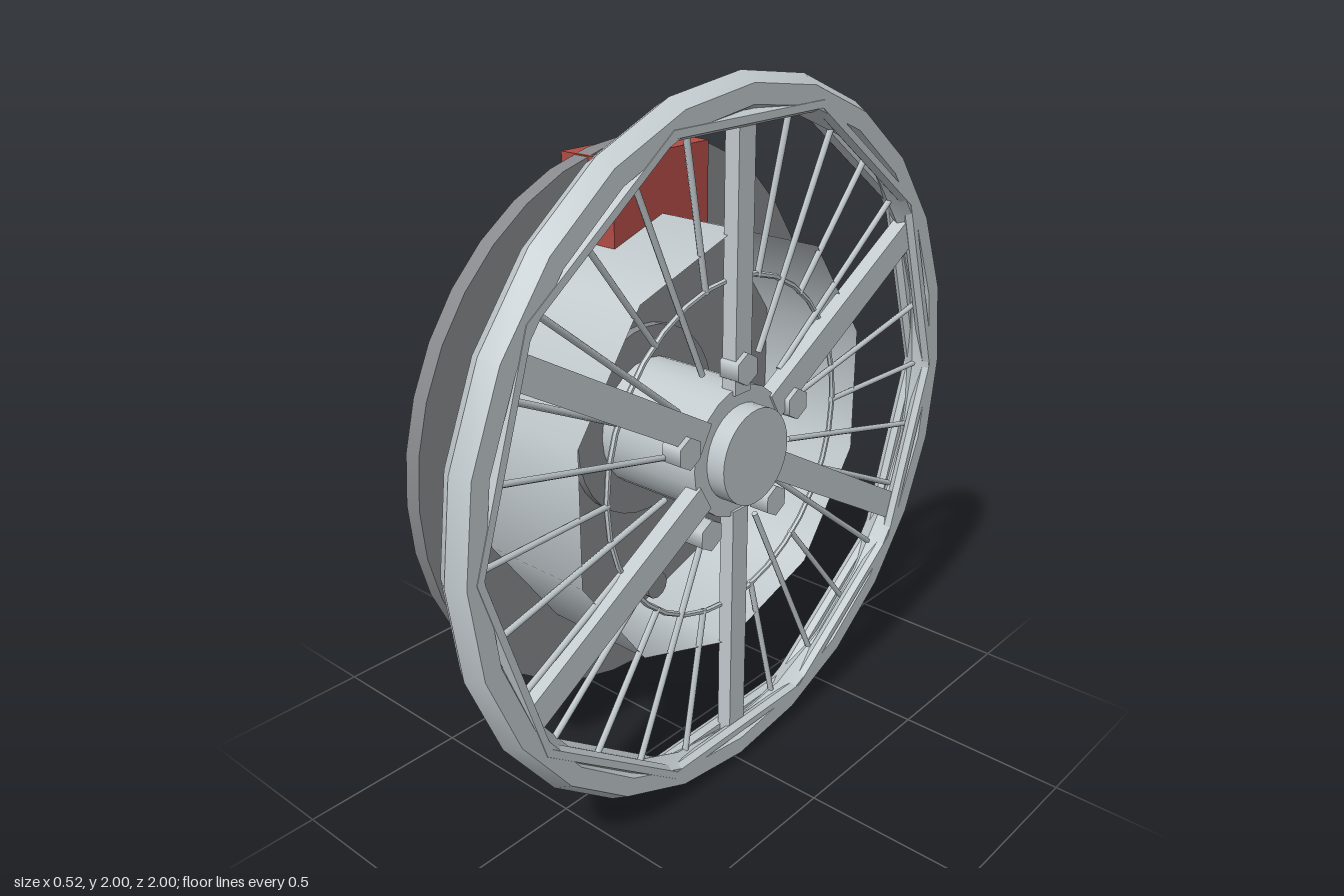
import * as THREE from 'three';
import { toCreasedNormals } from 'three/addons/utils/BufferGeometryUtils.js';

export function createModel() {
  const model = new THREE.Group();
  const wheel = new THREE.Group();
  wheel.name = 'wheel';
  wheel.position.y = 1; // axle runs along x
  model.add(wheel);

  const mat = (name, color, side = THREE.FrontSide) =>
    Object.assign(new THREE.MeshStandardMaterial({ color, side }), { name });
  const silver = mat('silver', 0xc2cace, THREE.DoubleSide);
  const grey = mat('steelGrey', 0x87898c);
  const red = mat('caliperRed', 0xb34c46);

  const add = (name, geometry, material) => {
    const mesh = new THREE.Mesh(geometry, material);
    mesh.name = name;
    wheel.add(mesh);
    return mesh;
  };
  // Cylinder along x from x0 to x1
  const drumShape = (r, x0, x1, sides, open = false, start = 0) =>
    new THREE.CylinderGeometry(r, r, x1 - x0, sides, 1, open, start)
      .rotateZ(-Math.PI / 2).translate((x0 + x1) / 2, 0, 0);
  // Ring around the x axis
  const ring = (r, tube, x, tubeSides, sides) =>
    toCreasedNormals(new THREE.TorusGeometry(r, tube, tubeSides, sides)
      .rotateY(Math.PI / 2).translate(x, 0, 0), 0.4);

  // Rim with a lip on either side
  const rimX = 0.186;
  add('rim', ring(0.948, 0.052, rimX, 6, 24), silver);
  for (const s of [-1, 1]) add('rimLip', ring(0.935, 0.021, rimX + s * 0.028, 6, 10), silver);

  // Open barrel behind the spokes, with a rounded back lip
  add('barrel', drumShape(0.608, -0.245, 0.18, 10, true, Math.PI / 2), silver);
  add('barrelBackLip', ring(0.564, 0.016, -0.247, 6, 20), silver);

  // Brake disc and caliper
  add('brakeDisc', drumShape(0.797, -0.206, -0.157, 36), grey);
  add('caliper', new THREE.BoxGeometry(0.185, 0.285, 0.37).translate(-0.162, 0.633, 0), red);

  // Hub, centre cap and valve
  add('hubFlange', drumShape(0.28, -0.17, -0.13, 32), grey);
  add('hub', drumShape(0.187, -0.17, 0.205, 24), silver);
  add('centreCap', drumShape(0.137, 0.2, 0.262, 32), silver);
  add('valve', drumShape(0.042, -0.17, -0.1, 12).translate(0, -0.53, 0), grey);

  // Five hexagonal wheel nuts
  for (let i = 0; i < 5; i++) {
    const a = (i * 2 * Math.PI) / 5;
    add('wheelNut', drumShape(0.046, 0.165, 0.228, 6, false, Math.PI / 2), silver)
      .position.set(0, 0.24 * Math.cos(a), 0.24 * Math.sin(a));
  }

  // Six broad spokes
  for (let i = 0; i < 6; i++) {
    const width = i % 3 === 0 ? 0.065 : 0.085;
    const g = new THREE.BoxGeometry(0.045, 0.73, width).translate(0.19, 0.535, 0);
    add('broadSpoke', g, silver).rotation.x = (i * Math.PI) / 3;
  }

  // Thin wire spokes, alternately long and short, tied by a wire ring
  const wireX = 0.17;
  const up = new THREE.Vector3(0, 1, 0);
  const outer = new THREE.Vector3(rimX, 0.91, 0);
  for (let i = 0; i < 28; i++) {
    const inner = new THREE.Vector3(wireX, i % 2 ? 0.27 : 0.47, 0);
    const dir = outer.clone().sub(inner);
    const g = new THREE.CylinderGeometry(0.009, 0.009, dir.length(), 6)
      .applyQuaternion(new THREE.Quaternion().setFromUnitVectors(up, dir.normalize()))
      .translate(...inner.clone().add(outer).multiplyScalar(0.5).toArray());
    add('wireSpoke', g, silver).rotation.x = Math.PI / 2 + (i * 2 * Math.PI) / 28;
  }
  add('wireRing', ring(0.478, 0.008, wireX, 6, 32), silver);

  return model;
}
